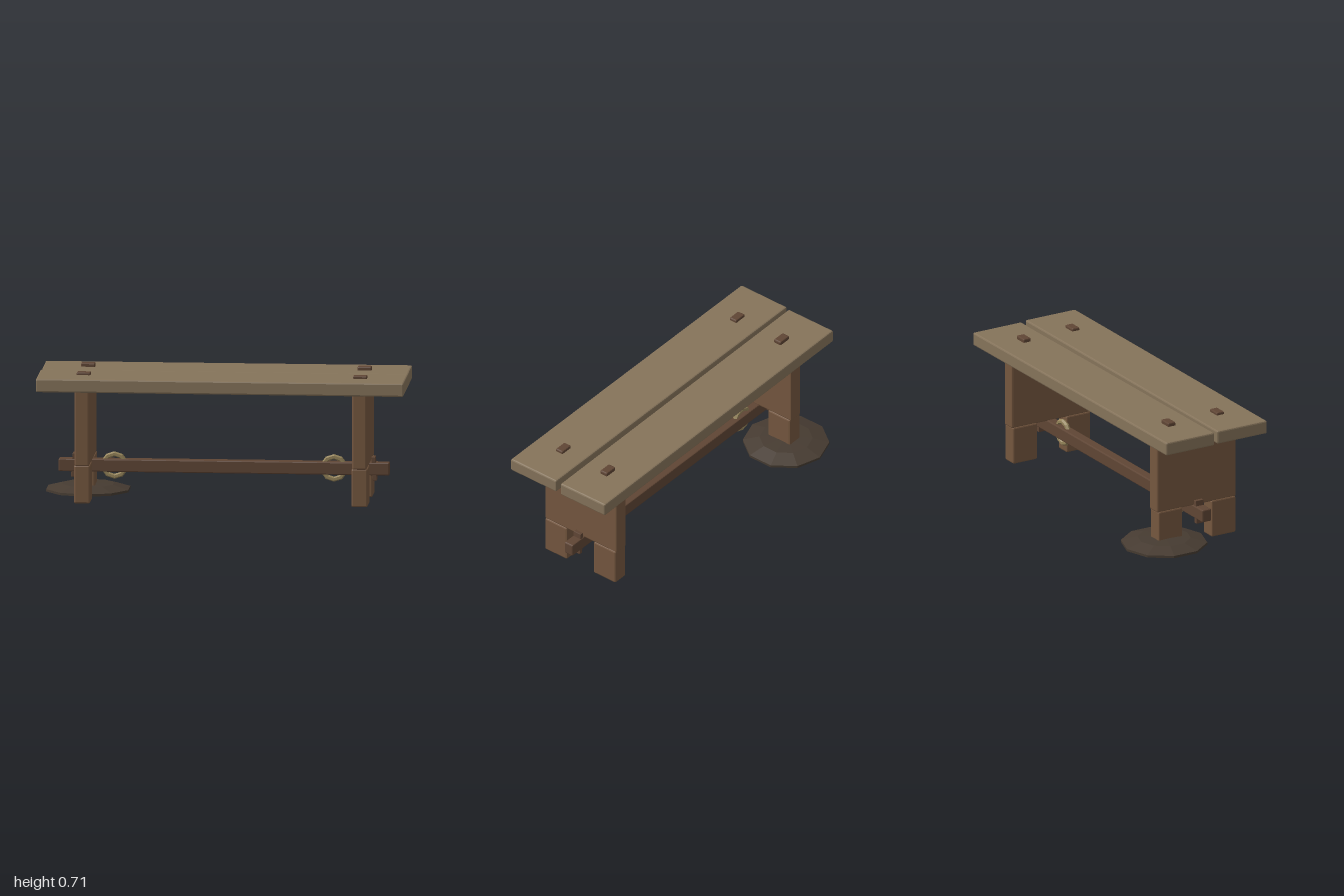
import * as THREE from 'three';
import { RoundedBoxGeometry } from 'three/addons/geometries/RoundedBoxGeometry.js';

const material = (color) => new THREE.MeshStandardMaterial({ color, flatShading: true });

export function createModel() {
  const bench = new THREE.Group();
  bench.name = 'bench';

  const plankWood = material(0x85735a);
  const legWood = material(0x75573f);
  const darkWood = material(0x5f4534);
  const rope = material(0x95845a);
  const earth = material(0x463b31);

  // Box with eased edges, given by its centre and size
  function block(name, mat, [x, y, z], [w, h, d], bevel) {
    const mesh = new THREE.Mesh(new RoundedBoxGeometry(w, h, d, 1, bevel), mat);
    mesh.name = name;
    mesh.position.set(x, y, z);
    bench.add(mesh);
    return mesh;
  }

  // Seat: two planks, the rear one slightly lower and askew
  block('frontPlank', plankWood, [0, 0.658, 0.213], [2, 0.074, 0.316], 0.008);
  const rear = block('rearPlank', plankWood, [0, 0.653, -0.121], [1.994, 0.074, 0.308], 0.008);
  rear.rotation.y = 0.006;

  for (const side of [-1, 1]) {
    const label = side > 0 ? 'left' : 'right';
    const x = side * 0.755;

    // End panel standing on two feet
    block(label + 'Panel', legWood, [x, 0.42, 0.048], [0.08, 0.43, 0.502], 0.009);
    block(label + 'FrontFoot', legWood, [x, 0.105, 0.218], [0.088, 0.21, 0.153], 0.008);
    block(label + 'RearFoot', legWood, [x, 0.105, -0.12], [0.088, 0.21, 0.153], 0.008);

    // Pegs rising through the planks
    for (const z of [0.203, -0.106]) {
      block(label + 'Peg', darkWood, [side * 0.752, 0.69, z], [0.076, 0.04, 0.047], 0.006);
    }

    // Wedge locking the stretcher outside the panel
    const wedge = block(label + 'Wedge', darkWood, [side * 0.817, 0.175, 0.05], [0.022, 0.13, 0.05], 0.002);
    wedge.rotation.z = side * 0.07;

    // Rope ring around the stretcher
    const ring = new THREE.Mesh(new THREE.TorusGeometry(0.062, 0.014, 6, 10), rope);
    ring.name = label + 'RopeRing';
    ring.position.set(side * 0.597, 0.174, 0.05);
    ring.rotation.z = Math.PI / 2;
    bench.add(ring);
  }

  // Long stretcher through both ends
  block('stretcher', darkWood, [0, 0.175, 0.049], [1.8, 0.07, 0.057], 0.006);

  // Low mound of earth around one rear foot
  const profile = [[0, 0.005], [0.235, 0.005], [0.235, 0.018], [0.145, 0.042], [0, 0.05]]
    .map(([r, y]) => new THREE.Vector2(r, y));
  const mound = new THREE.Mesh(new THREE.LatheGeometry(profile, 10), earth);
  mound.name = 'earthMound';
  mound.position.set(-0.755, 0, -0.135);
  bench.add(mound);

  return bench;
}
